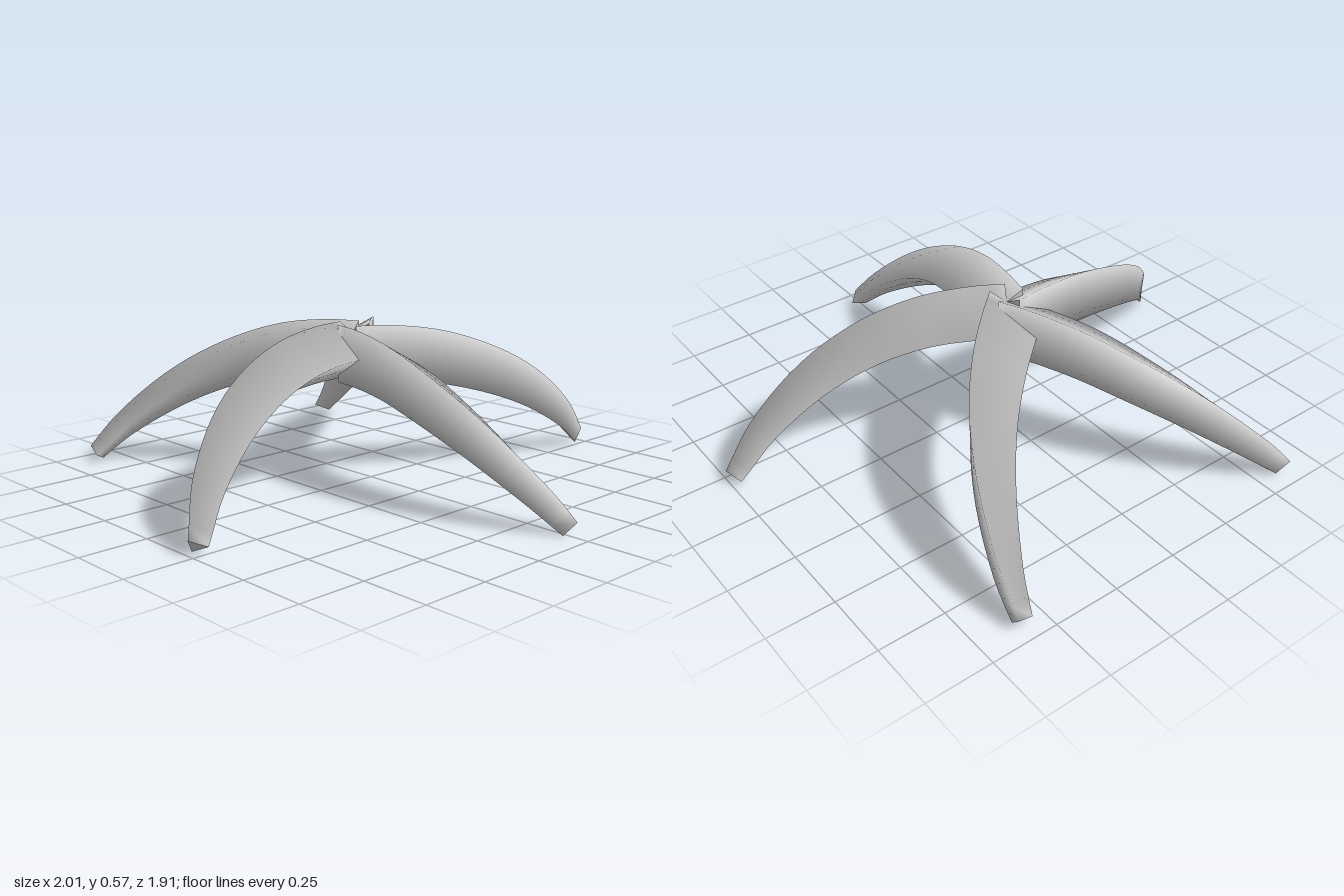
import * as THREE from 'three';

const SEGMENTS = 24;
const HUB_RADIUS = 0.125, TIP_RADIUS = 0.04;

// Centre line of one leg, from the hub outwards along +z
const spine = new THREE.CatmullRomCurve3([
  [0, 0.47, 0], [-0.026, 0.47, 0.12], [-0.062, 0.45, 0.3], [-0.086, 0.39, 0.5],
  [-0.08, 0.295, 0.7], [-0.04, 0.155, 0.9], [0.012, 0.032, 1.025],
].map((p) => new THREE.Vector3(...p)));

// Tapered three-sided tube: flat face on one side, ridge on the other
function legGeometry() {
  const up = new THREE.Vector3(0, 1, 0);
  const positions = [], index = [];
  for (let i = 0; i <= SEGMENTS; i++) {
    const t = i / SEGMENTS;
    const centre = spine.getPointAt(t);
    const tangent = spine.getTangentAt(t);
    const side = new THREE.Vector3().crossVectors(up, tangent).normalize();
    const rise = new THREE.Vector3().crossVectors(tangent, side);
    const r = HUB_RADIUS - (HUB_RADIUS - TIP_RADIUS) * t ** 1.8;
    for (let j = 0; j < 3; j++) {
      const a = (j * Math.PI * 2) / 3;
      const p = centre.clone()
        .addScaledVector(side, r * Math.cos(a))
        .addScaledVector(rise, r * Math.sin(a));
      positions.push(p.x, p.y, p.z);
    }
  }
  for (let i = 0; i < SEGMENTS; i++) {
    for (let j = 0; j < 3; j++) {
      const a = i * 3 + j, b = i * 3 + ((j + 1) % 3);
      index.push(a, b, a + 3, b, b + 3, a + 3);
    }
  }
  // End caps with their own corners, so that their edges stay sharp
  const last = SEGMENTS * 3;
  for (const corner of [0, 2, 1, last, last + 1, last + 2]) {
    index.push(positions.length / 3);
    positions.push(...positions.slice(corner * 3, corner * 3 + 3));
  }
  const geometry = new THREE.BufferGeometry();
  geometry.setAttribute('position', new THREE.Float32BufferAttribute(positions, 3));
  geometry.setIndex(index);
  geometry.computeVertexNormals();
  return geometry;
}

export function createModel() {
  const model = new THREE.Group();
  model.name = 'fiveLeggedBase';
  const material = new THREE.MeshStandardMaterial({ color: 0xcccccc, side: THREE.DoubleSide });
  const geometry = legGeometry();

  // Five equal legs around the hub
  for (let k = 0; k < 5; k++) {
    const leg = new THREE.Mesh(geometry, material);
    leg.name = `leg${k + 1}`;
    leg.rotation.y = (k * Math.PI * 2) / 5;
    leg.position.z = -0.1;
    model.add(leg);
  }
  return model;
}
